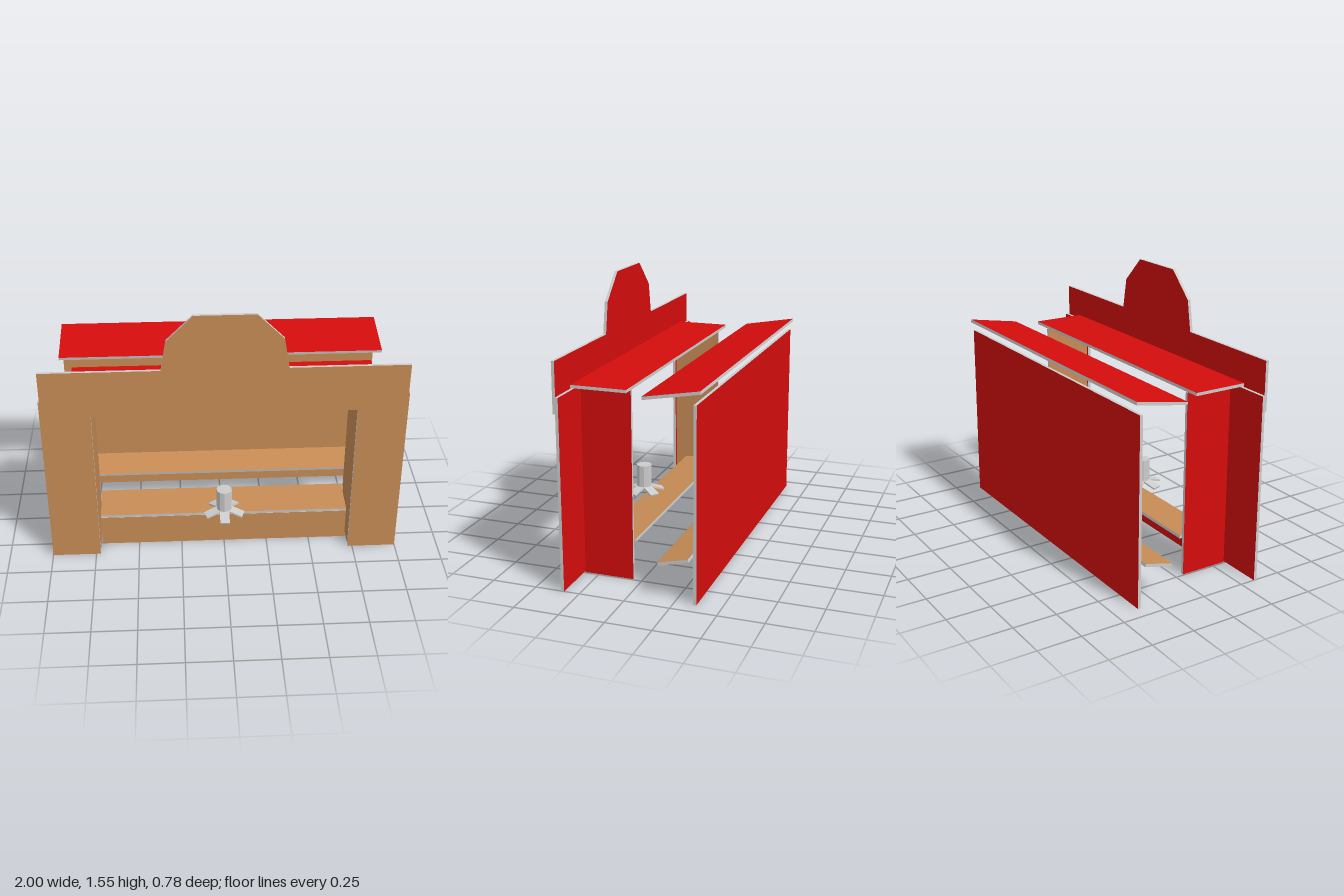
import * as THREE from 'three';

const WOOD = new THREE.MeshStandardMaterial({ color: 0xc68b55 });
const RED = new THREE.MeshStandardMaterial({ color: 0xd40c0c });
const GREY = new THREE.MeshStandardMaterial({ color: 0xcccccc });
const T = 0.017; // board thickness

// Board whose local +z face is wood, -z face red and edges grey
function board(name, w, h, x, y, z, rx = 0, ry = 0) {
  const mats = [GREY, GREY, GREY, GREY, WOOD, RED];
  const mesh = new THREE.Mesh(new THREE.BoxGeometry(w, h, T), mats);
  mesh.name = name;
  mesh.position.set(x, y, z);
  mesh.rotation.set(rx, ry, 0);
  return mesh;
}

// Header board with a raised, faceted centre
function headerBoard() {
  const half = [[0.99, 0.96], [0.99, 1.235], [0.34, 1.235], [0.31, 1.41], [0.165, 1.555]];
  const mirrored = half.map(([x, y]) => [-x, y]).reverse();
  const shape = new THREE.Shape([...half, ...mirrored].map(([x, y]) => new THREE.Vector2(x, y)));
  const geo = new THREE.ExtrudeGeometry(shape, { depth: T, bevelEnabled: false });
  const [caps, sides] = geo.groups.map((g) => ({ ...g }));
  geo.clearGroups();
  geo.addGroup(0, caps.count / 2, 0); // back cap
  geo.addGroup(caps.count / 2, caps.count / 2, 1); // front cap
  geo.addGroup(sides.start, sides.count, 2);
  const mesh = new THREE.Mesh(geo, [RED, WOOD, GREY]);
  mesh.name = 'headerBoard';
  mesh.position.z = 0.355;
  return mesh;
}

// Small post on five drooping feet
function centrePost() {
  const post = new THREE.Group();
  post.name = 'centrePost';
  post.position.set(0, 0, 0.275);
  const hub = new THREE.Mesh(new THREE.CylinderGeometry(0.045, 0.045, 0.13, 10).toNonIndexed(), GREY.clone());
  hub.material.flatShading = true;
  hub.name = 'postHub';
  hub.position.y = 0.317;
  post.add(hub);
  for (let i = 0; i < 5; i++) {
    const arm = new THREE.Group();
    arm.name = 'postFoot';
    arm.rotation.y = (i * Math.PI * 2) / 5;
    const foot = new THREE.Mesh(new THREE.BoxGeometry(0.055, 0.01, 0.1), GREY);
    foot.position.set(0, 0.237, 0.066);
    foot.rotation.x = 0.3;
    arm.add(foot);
    post.add(arm);
  }
  return post;
}

export function createModel() {
  const model = new THREE.Group();
  model.name = 'boothStand';

  // Front pillars with their inward side panels
  for (const s of [1, -1]) {
    model.add(board(s > 0 ? 'leftPillar' : 'rightPillar', 0.275, 1.05, s * 0.8625, 0.525, 0.345));
    model.add(board(s > 0 ? 'leftSidePanel' : 'rightSidePanel', 0.28, 1.05, s * 0.734, 0.525, 0.19, 0, -s * Math.PI / 2));
  }

  model.add(headerBoard());

  // Ceiling over the front section, red side up
  model.add(board('ceilingBoard', 1.675, 0.307, 0, 1.068, 0.19, Math.PI / 2));

  // Counter: low front panel and slightly rising shelf, wood side up
  model.add(board('counterPanel', 1.434, 0.19, 0, 0.095, 0.252));
  model.add(board('counterShelf', 1.434, 0.22, 0, 0.208, 0.15, -Math.PI / 2 + 0.09));
  model.add(centrePost());

  // Rear section: back wall, sloped roof and tilted shelf
  model.add(board('backWall', 1.85, 1.058, 0, 0.529, -0.359));
  model.add(board('rearRoof', 1.84, 0.31, 0, 1.093, -0.232, Math.PI / 2 + 0.177));
  model.add(board('rearShelf', 1.85, 0.17, 0, 0.217, -0.241, -Math.PI / 2 + 0.24));

  return model;
}
